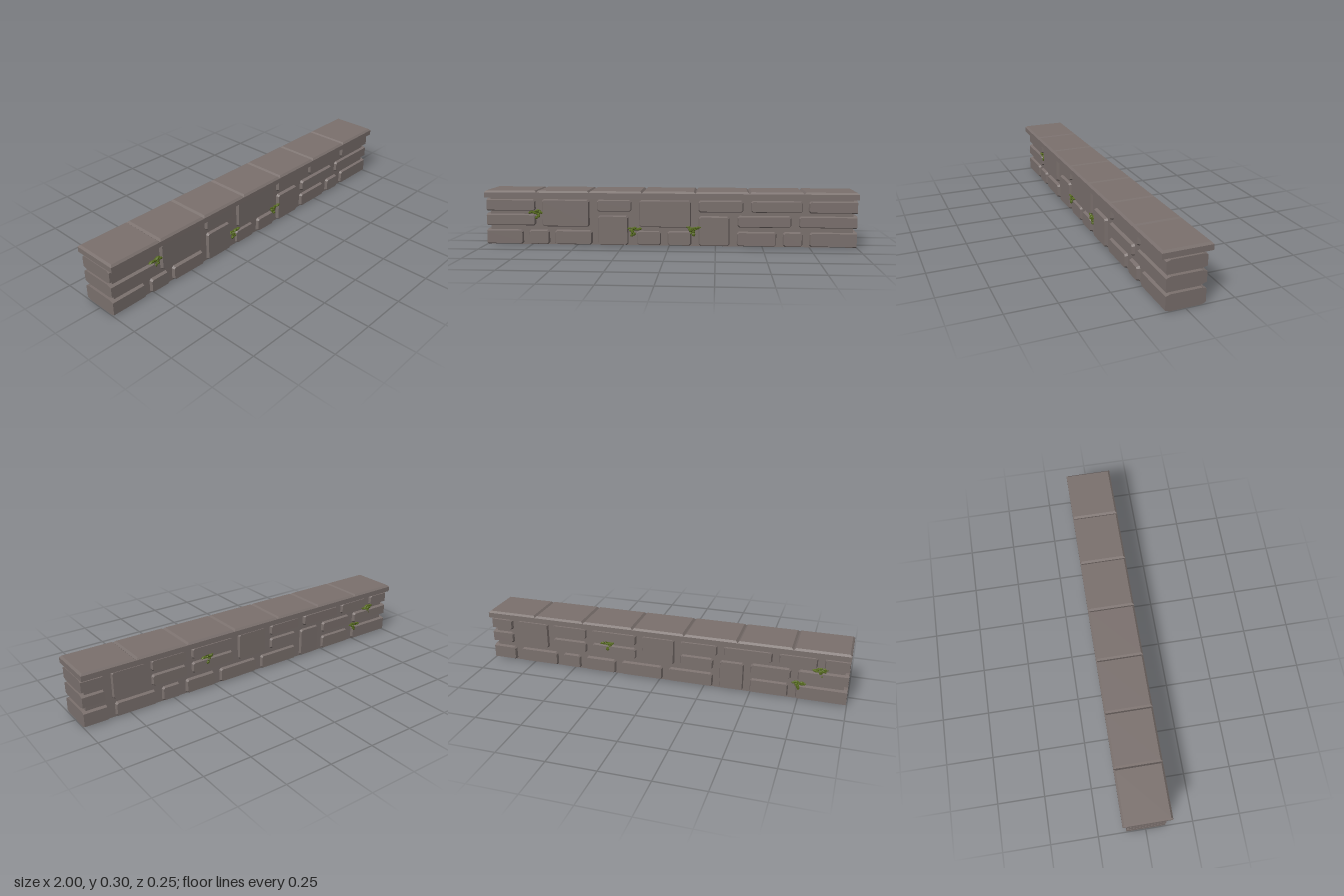
import * as THREE from 'three';

const stoneMat = new THREE.MeshStandardMaterial({ color: 0x7a706d });
stoneMat.name = 'warm grey stone';
stoneMat.flatShading = true;
const mossMat = new THREE.MeshStandardMaterial({ color: 0x566a1f });
mossMat.name = 'moss green';
mossMat.flatShading = true;

const END = 0.997;
let seed = 7;
function rand() {
  seed = (seed * 16807) % 2147483647;
  return seed / 2147483647;
}

// Chamfered stone reaching from the wall's middle to its face; stones at the wall ends are cut flat
function stone(x0, x1, y0, y1) {
  if (x0 <= -1) x0 = -1.06;
  if (x1 >= 1) x1 = 1.06;
  const b = 0.008, c = 0.007, t = 0.022;
  const l = x0 + b, r = x1 - b, d = y0 + b, u = y1 - b;
  const shape = new THREE.Shape([
    [l + c, d], [r - c, d], [r, d + c], [r, u - c],
    [r - c, u], [l + c, u], [l, u - c], [l, d + c],
  ].map(([x, y]) => new THREE.Vector2(x, y)));
  const face = 0.1 + (rand() - 0.5) * 0.004;
  const geo = new THREE.ExtrudeGeometry(shape, {
    depth: face - t, bevelEnabled: true, bevelThickness: t, bevelSize: b, bevelSegments: 1,
  });
  const p = geo.attributes.position;
  const tilt = (rand() - 0.5) * 0.004;
  for (let i = 0; i < p.count; i++) {
    const f = (p.getX(i) - x0) / (x1 - x0) - 0.5;
    if (p.getZ(i) > 0.09) p.setZ(i, p.getZ(i) + f * tilt);
    p.setX(i, THREE.MathUtils.clamp(p.getX(i), -END, END));
  }
  geo.computeVertexNormals();
  return new THREE.Mesh(geo, stoneMat);
}

// Heights of the courses, and of stones that span two courses
const course = {
  low: [0.002, 0.086], mid: [0.104, 0.172], top: [0.184, 0.253],
  upper: [0.1, 0.253], lower: [0.002, 0.168],
};

const frontStones = {
  top: [[-1, -0.725], [-0.395, -0.2], [0.155, 0.4], [0.435, 0.715], [0.74, 1]],
  mid: [[-1, -0.725], [0.365, 0.655], [0.69, 1]],
  low: [[-1, -0.795], [-0.768, -0.65], [-0.625, -0.415], [-0.178, -0.04],
    [-0.01, 0.122], [0.362, 0.577], [0.607, 0.716], [0.747, 1]],
  upper: [[-0.695, -0.43], [-0.165, 0.12]],
  lower: [[-0.388, -0.218], [0.157, 0.327]],
};
const backStones = {
  top: [[0.87, 1], [0.42, 0.625], [0.13, 0.39], [-0.32, -0.115], [-0.61, -0.35],
    [-0.84, -0.64], [-1, -0.87]],
  mid: [[0.87, 1], [0.42, 0.625], [0.13, 0.39], [-0.3, -0.115], [-0.71, -0.495], [-1, -0.74]],
  low: [[0.86, 1], [0.6, 0.83], [0.46, 0.57], [0.25, 0.43], [-0.02, 0.22],
    [-0.3, -0.05], [-0.7, -0.495], [-1, -0.735]],
  upper: [[0.65, 0.84], [-0.085, 0.1]],
  lower: [[-0.465, -0.33]],
};

// Lays one face of the wall; the back face is turned half round
function wallFace(table, name, back) {
  const g = new THREE.Group();
  g.name = name;
  for (const [row, spans] of Object.entries(table)) {
    for (const [a, b] of spans) {
      const m = back ? stone(-b, -a, ...course[row]) : stone(a, b, ...course[row]);
      m.name = row + 'Stone';
      g.add(m);
    }
  }
  if (back) g.rotation.y = Math.PI;
  return g;
}

// Coping slab with its top edges bevelled
function capSlab(w) {
  const h = 0.038, dz = 0.25, bevel = 0.01;
  const box = new THREE.BoxGeometry(w, h, dz, 1, 2, 1);
  const p = box.attributes.position;
  for (let i = 0; i < p.count; i++) {
    if (p.getY(i) > 0.01) {
      p.setX(i, Math.sign(p.getX(i)) * (w / 2 - bevel));
      p.setZ(i, Math.sign(p.getZ(i)) * (dz / 2 - bevel));
    } else if (p.getY(i) > -0.01) p.setY(i, h / 2 - bevel);
  }
  const geo = box.toNonIndexed();
  geo.computeVertexNormals();
  const m = new THREE.Mesh(geo, stoneMat);
  m.name = 'capSlab';
  return m;
}

// Moss: small flattened tufts along a joint, with a hanging part
function mossClump(x, y, side, lean) {
  const g = new THREE.Group();
  g.name = 'mossClump';
  for (let i = 0; i < 11; i++) {
    const hang = i > 6;
    const m = new THREE.Mesh(new THREE.IcosahedronGeometry(0.009 + rand() * 0.004, 0), mossMat);
    m.name = 'mossTuft';
    m.scale.set(hang ? 0.9 : 1.3, hang ? 0.9 : 0.6, 0.75);
    m.position.set(
      hang ? (rand() - 0.5) * 0.018 : lean * (i * 0.009 - 0.02),
      hang ? -(i - 6) * 0.008 : (rand() - 0.4) * 0.014,
      side * (rand() * 0.008));
    m.rotation.z = (rand() - 0.5) * 0.9;
    g.add(m);
  }
  g.position.set(x, y, side * 0.091);
  return g;
}

export function createModel() {
  seed = 7;
  const model = new THREE.Group();
  model.name = 'stoneWall';

  // Recessed mortar core
  const core = new THREE.Mesh(new THREE.BoxGeometry(1.955, 0.26, 0.17), stoneMat);
  core.name = 'mortarCore';
  core.position.y = 0.133;
  model.add(core);

  model.add(wallFace(frontStones, 'frontStones', false));
  model.add(wallFace(backStones, 'backStones', true));

  // Row of coping slabs
  const cap = new THREE.Group();
  cap.name = 'coping';
  const n = 7, w = 2 / n;
  for (let i = 0; i < n; i++) {
    const slab = capSlab(w);
    slab.position.set(-1 + w * (i + 0.5), 0.281, 0);
    cap.add(slab);
  }
  model.add(cap);

  const moss = new THREE.Group();
  moss.name = 'moss';
  [
    [-0.72, 0.182, 1, -1], [-0.195, 0.092, 1, 1], [0.125, 0.098, 1, 1],
    [0.29, 0.18, -1, 1], [-0.745, 0.096, -1, -1], [-0.86, 0.183, -1, 1],
  ].forEach((a) => moss.add(mossClump(...a)));
  model.add(moss);

  // Stand on the ground
  model.position.y = -0.002;
  const root = new THREE.Group();
  root.name = 'wall';
  root.add(model);
  return root;
}
